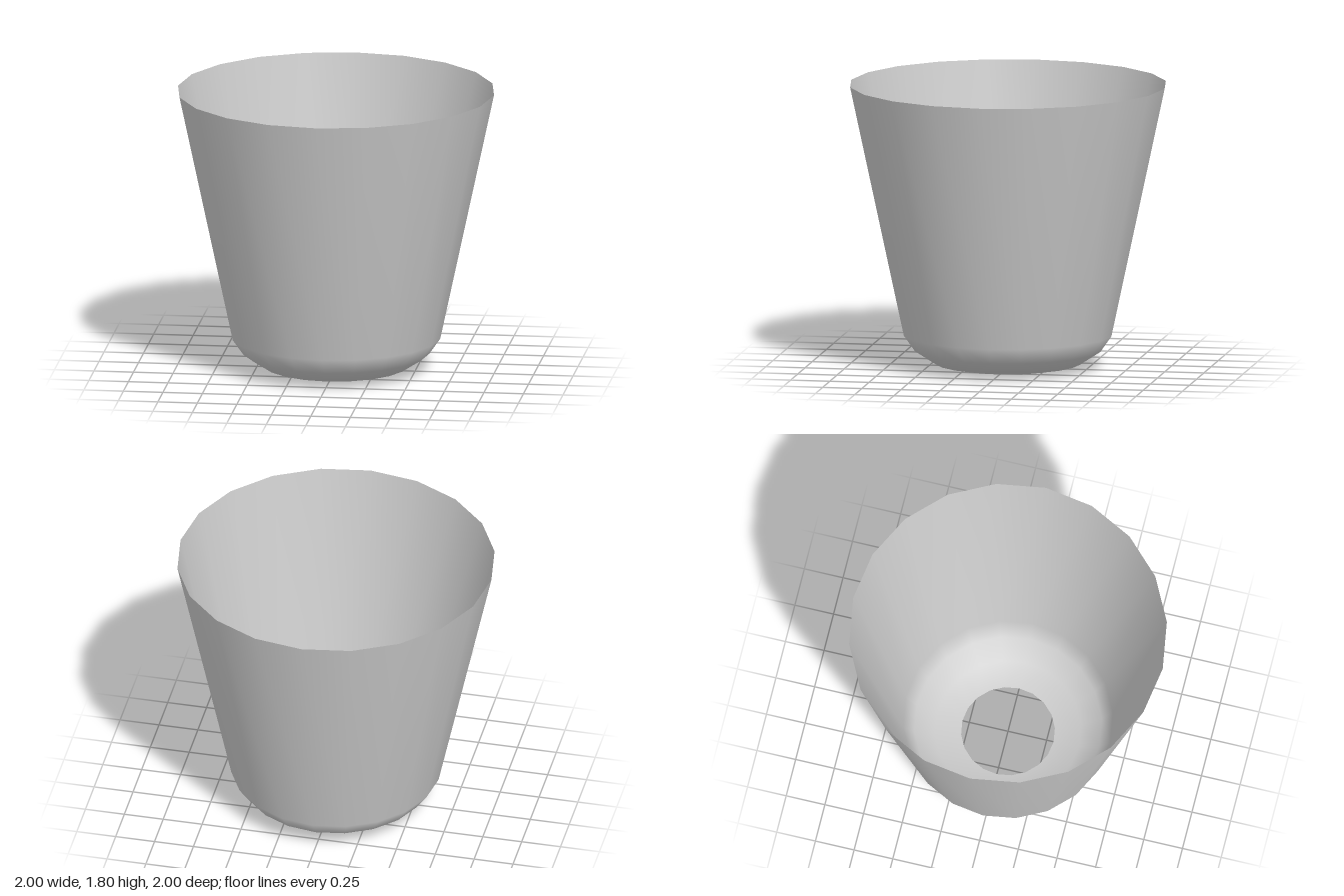
import * as THREE from 'three';

export function createModel() {
  const group = new THREE.Group();
  group.name = 'cup';

  // Thin open shell: hole in the base, rounded lower edge, flared wall
  const profile = [
    [0.295, 0], [0.46, 0.03], [0.59, 0.115], [0.66, 0.215], [1, 1.8],
  ].map(([r, y]) => new THREE.Vector2(r, y));

  const material = new THREE.MeshStandardMaterial({ color: 0xcccccc, side: THREE.DoubleSide });
  const shell = new THREE.Mesh(new THREE.LatheGeometry(profile, 20), material);
  shell.name = 'taperedShell';
  group.add(shell);

  return group;
}
